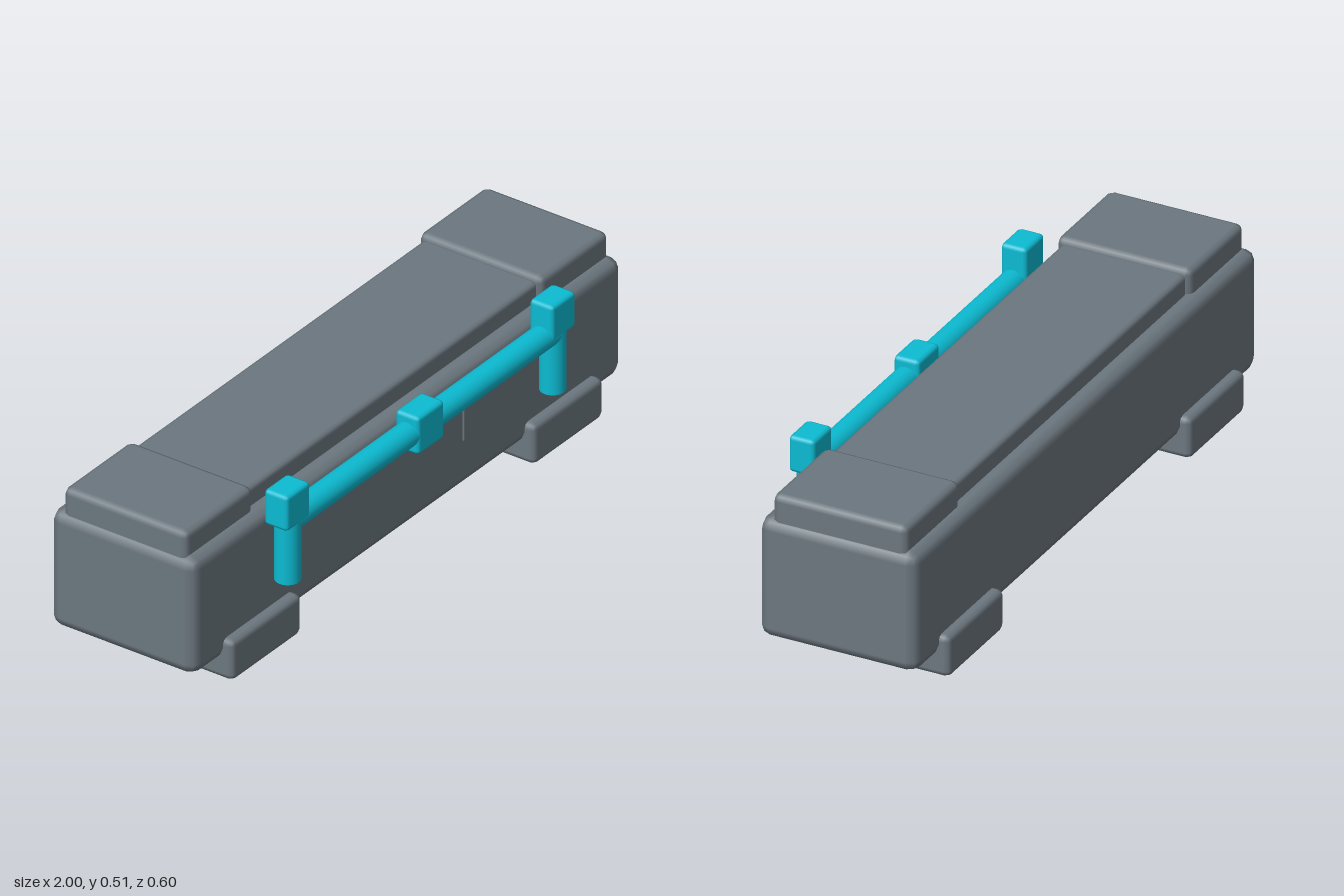
import * as THREE from 'three';
import { RoundedBoxGeometry } from 'three/addons/geometries/RoundedBoxGeometry.js';

export function createModel() {
  const model = new THREE.Group();
  model.name = 'chest';

  const grey = new THREE.MeshStandardMaterial({ color: 0x6c777f });
  grey.name = 'slate grey';
  const cyan = new THREE.MeshStandardMaterial({ color: 0x0cbbd2 });
  cyan.name = 'bright cyan';

  // Box with two-step bevelled edges, given by its extents on each axis
  function block(name, material, [x0, x1], [y0, y1], [z0, z1], bevel) {
    const geometry = new RoundedBoxGeometry(x1 - x0, y1 - y0, z1 - z0, 1, bevel);
    const mesh = new THREE.Mesh(geometry, material);
    mesh.position.set((x0 + x1) / 2, (y0 + y1) / 2, (z0 + z1) / 2);
    mesh.name = name;
    model.add(mesh);
    return mesh;
  }

  function rod(name, radius, length, x, y, z) {
    const mesh = new THREE.Mesh(new THREE.CylinderGeometry(radius, radius, length, 24), cyan);
    mesh.position.set(x, y, z);
    mesh.name = name;
    model.add(mesh);
    return mesh;
  }

  // Main case and the long lid between the end caps
  block('body', grey, [-1, 1], [0.065, 0.435], [-0.268, 0.222], 0.034);
  block('lid', grey, [-0.68, 0.68], [0.38, 0.495], [-0.217, 0.168], 0.015);

  // Mirrored parts
  for (const side of [-1, 1]) {
    const label = side < 0 ? 'right' : 'left';
    const span = (a, b) => (side < 0 ? [-b, -a] : [a, b]);
    block(label + 'EndCap', grey, span(0.67, 0.985), [0.38, 0.51], [-0.232, 0.185], 0.02);
    block(label + 'Foot', grey, span(0.54, 0.865), [0, 0.127], [-0.3, 0.255], 0.018);
    block(label + 'FrontPanel', grey, span(0.25, 0.6), [0.213, 0.356], [0.21, 0.228], 0.003);
    block(label + 'HandleCorner', cyan, span(0.563, 0.673), [0.4, 0.512], [0.22, 0.3], 0.012);
    rod(label + 'HandlePost', 0.0375, 0.2, side * 0.617, 0.315, 0.261);
  }

  // Horizontal handle bar with its centre grip
  const bar = rod('handleBar', 0.0375, 1.22, 0, 0.402, 0.261);
  bar.rotation.z = Math.PI / 2;
  block('handleGrip', cyan, [-0.062, 0.062], [0.345, 0.465], [0.22, 0.3], 0.012);

  return model;
}
